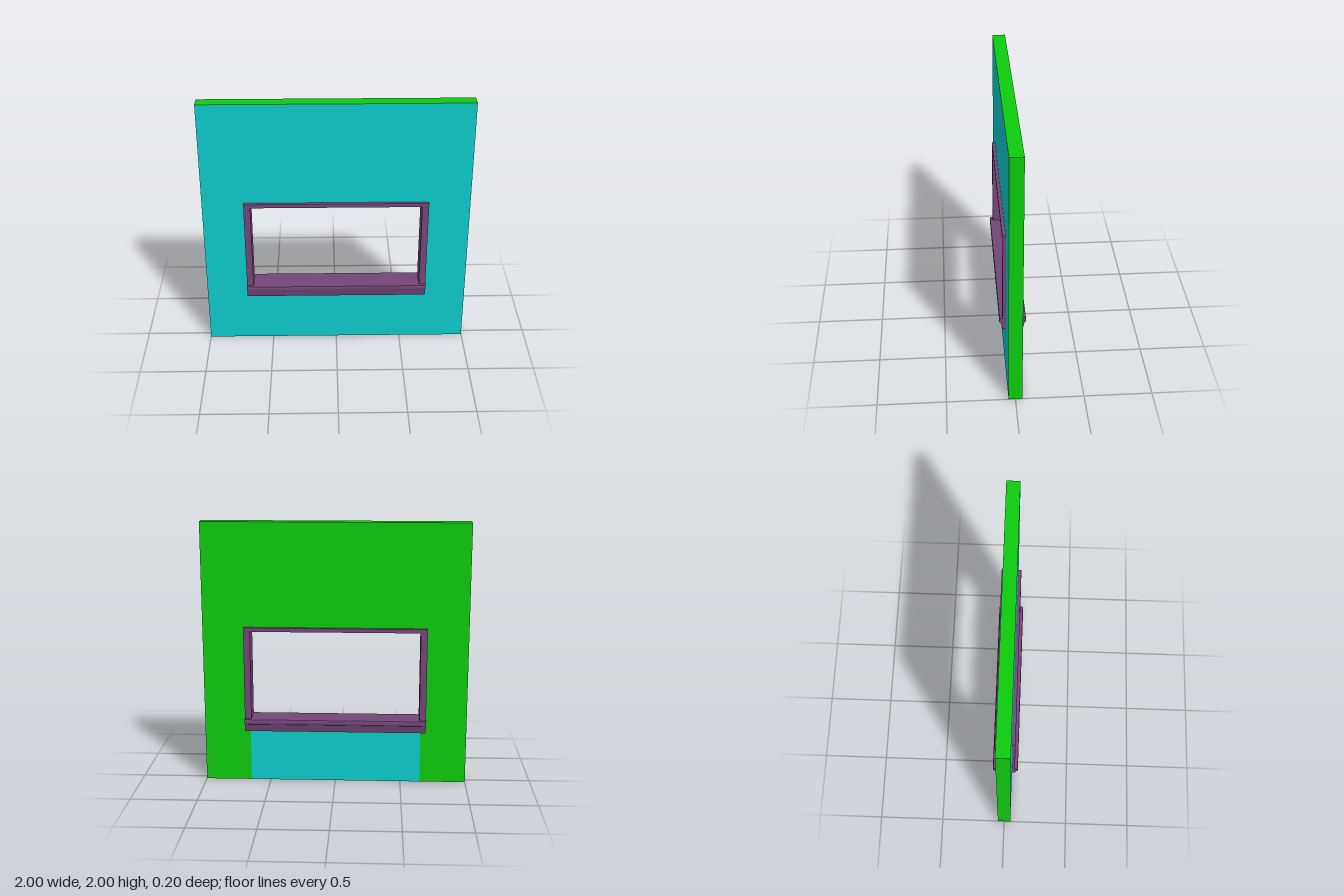
import * as THREE from 'three';

const CYAN = new THREE.MeshStandardMaterial({ color: 0x0ecccc });
const GREEN = new THREE.MeshStandardMaterial({ color: 0x0ecc0e });
const PURPLE = new THREE.MeshStandardMaterial({ color: 0x75477a });
const HALF = 0.05; // half the wall thickness

const polygon = (pts) => new THREE.Shape(pts.map(([x, y]) => new THREE.Vector2(x, y)));
const rect = (x0, y0, x1, y1) => polygon([[x0, y0], [x1, y0], [x1, y1], [x0, y1]]);
const ring = (outer, inner) => {
  const shape = rect(...outer);
  shape.holes.push(rect(...inner));
  return shape;
};
const extrude = (shape, depth) => new THREE.ExtrudeGeometry(shape, { depth, bevelEnabled: false });

export function createModel() {
  const model = new THREE.Group();
  const add = (name, geometry, material, parent = model) => {
    const mesh = new THREE.Mesh(geometry, material);
    mesh.name = name;
    parent.add(mesh);
    return mesh;
  };

  // Wall: one face per painted side
  const wall = new THREE.Group();
  wall.name = 'wall';
  model.add(wall);
  const face = (name, shape, material) => add(name, new THREE.ShapeGeometry(shape), material, wall);

  face('wallFront', ring([-1, 0, 1, 2], [-0.65, 0.45, 0.65, 1.2]), CYAN).position.z = HALF;

  const backSurround = polygon([[-1, 0], [-0.65, 0], [-0.65, 1.2], [0.65, 1.2], [0.65, 0], [1, 0], [1, 2], [-1, 2]]);
  for (const [name, shape, material] of [
    ['wallBackSurround', backSurround, GREEN],
    ['wallBackLower', rect(-0.65, 0, 0.65, 0.45), CYAN],
  ]) {
    const back = face(name, shape, material);
    back.rotation.y = Math.PI;
    back.position.z = -HALF;
  }

  for (const [name, side] of [['wallLeftEdge', 1], ['wallRightEdge', -1]]) {
    const edge = face(name, rect(-HALF, 0, HALF, 2), GREEN);
    edge.rotation.y = side * Math.PI / 2;
    edge.position.x = side;
  }
  const top = face('wallTopEdge', rect(-1, -HALF, 1, HALF), GREEN);
  top.rotation.x = -Math.PI / 2;
  top.position.y = 2;

  // Underside, with a small mitred corner in the edge colour
  face('wallBottomEdge', polygon([[-0.95, -HALF], [1, -HALF], [1, HALF], [-1, HALF]]), CYAN).rotation.x = Math.PI / 2;
  face('wallBottomCorner', polygon([[-1, -HALF], [-0.95, -HALF], [-1, HALF]]), GREEN).rotation.x = Math.PI / 2;

  // Lining through the opening
  const opening = [-0.64, 0.5, 0.64, 1.18];
  const lining = extrude(ring([-0.65, 0.45, 0.65, 1.2], opening), 2 * HALF);
  add('windowLining', lining.translate(0, 0, -HALF), PURPLE);

  // Casing and moulded sill, repeated on both faces of the wall
  const casingShape = polygon([
    [-0.69, 0.5], [-0.64, 0.5], [-0.64, 1.18], [0.64, 1.18],
    [0.64, 0.5], [0.69, 0.5], [0.69, 1.21], [-0.69, 1.21],
  ]);
  const casing = extrude(casingShape, 0.025).translate(0, 0, HALF);
  const sillProfile = polygon([
    [HALF, 0.4], [0.074, 0.4], [0.087, 0.458], [0.095, 0.463], [0.098, 0.47],
    [0.098, 0.488], [0.095, 0.497], [0.088, 0.5], [HALF, 0.5],
  ]);
  const sill = extrude(sillProfile, 1.38).translate(0, 0, -0.69).rotateY(-Math.PI / 2);
  // The extrusion is turned so the profile's outward direction faces +z
  for (const [name, turn] of [['frontTrim', 0], ['backTrim', Math.PI]]) {
    const trim = new THREE.Group();
    trim.name = name;
    trim.rotation.y = turn;
    add('casing', casing, PURPLE, trim);
    add('sill', sill, PURPLE, trim);
    model.add(trim);
  }
  return model;
}
